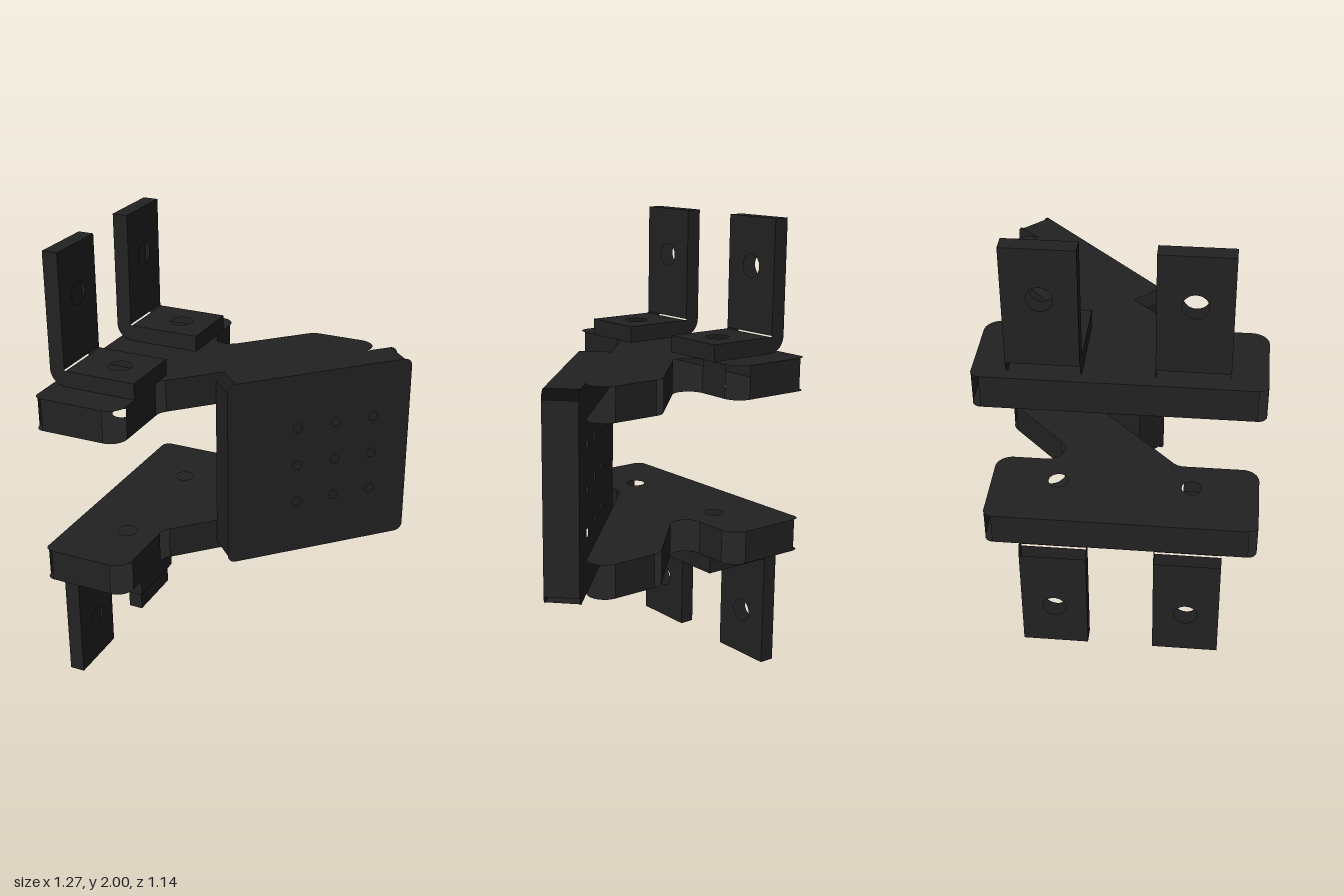
import * as THREE from 'three';
import { mergeGeometries } from 'three/addons/utils/BufferGeometryUtils.js';

const material = new THREE.MeshStandardMaterial({ color: 0x222222, side: THREE.DoubleSide });
const ROUND = 0.071, EDGE = 0.036, THICK = 0.143, SHEET = 0.071;

function addHoles(shape, holes) {
  for (const [x, y, r] of holes) shape.holes.push(new THREE.Path().absarc(x, y, r, 0, Math.PI * 2, true));
  return shape;
}

// Tangent points and arc of a rounded corner p between its neighbours
function roundCorner(prev, p, next, r) {
  const a = prev.clone().sub(p).normalize(), b = next.clone().sub(p).normalize();
  const half = Math.acos(a.dot(b)) / 2;
  if (!r) return [p.clone()];
  const centre = a.clone().add(b).normalize().multiplyScalar(r / Math.sin(half)).add(p);
  const start = a.multiplyScalar(r / Math.tan(half)).add(p).sub(centre);
  const end = b.multiplyScalar(r / Math.tan(half)).add(p).sub(centre);
  const arc = [];
  for (let i = 0; i <= 10; i++) arc.push(start.clone().lerp(end, i / 10).setLength(r).add(centre));
  return arc;
}

// Sheet-built prism: two rounded caps plus flat walls along the straight edges (rounds stay open).
// corners: [x, y, radius, holes in the wall that starts here], counter-clockwise
function prism(corners, depth, holes = []) {
  const pts = corners.map(([x, y]) => new THREE.Vector2(x, y)), n = pts.length;
  const arcs = pts.map((p, i) => roundCorner(pts[(i + n - 1) % n], p, pts[(i + 1) % n], corners[i][2]));
  const cap = () => new THREE.ShapeGeometry(addHoles(new THREE.Shape(arcs.flat()), holes), 16);
  const front = cap().translate(0, 0, depth);
  const back = cap();
  back.index.array.reverse();
  back.computeVertexNormals();
  const parts = [front, back];
  arcs.forEach((arc, i) => {
    const a = arc[arc.length - 1], b = arcs[(i + 1) % n][0];
    const length = a.distanceTo(b), d = b.clone().sub(a).normalize();
    const rect = new THREE.Shape([[0, 0], [length, 0], [length, depth], [0, depth]]
      .map(([u, v]) => new THREE.Vector2(u, v)));
    // Wall holes are measured from the sharp corner
    const skip = a.distanceTo(pts[i]);
    addHoles(rect, (corners[i][3] || []).map(([u, v, r]) => [u - skip, v, r]));
    const place = new THREE.Matrix4().makeBasis(
      new THREE.Vector3(d.x, d.y, 0), new THREE.Vector3(0, 0, 1), new THREE.Vector3(d.y, -d.x, 0));
    place.setPosition(a.x, a.y, 0);
    parts.push(new THREE.ShapeGeometry(rect, 16).applyMatrix4(place));
  });
  return mergeGeometries(parts);
}

function add(parent, name, geometry) {
  const mesh = new THREE.Mesh(geometry, material);
  mesh.name = name;
  parent.add(mesh);
  return mesh;
}

export function createModel() {
  const model = new THREE.Group();
  model.name = 'bracketAssembly';

  // Flat arms with a diagonal branch that carries the plate
  const arm = prism([
    [-0.64, -0.571, EDGE], [-0.25, -0.571, ROUND], [-0.25, -0.217, ROUND], [0.538, 0.571, ROUND],
    [0.137, 0.571, ROUND], [-0.25, 0.184, ROUND], [-0.25, 0.571, ROUND], [-0.64, 0.571, EDGE],
  ], THICK, [[-0.39, 0.285, 0.042], [-0.39, -0.285, 0.042]]).rotateX(-Math.PI / 2);
  add(model, 'lowerArm', arm).position.y = 0.572;
  add(model, 'upperArm', arm).position.y = 1.285;

  // Angled square plate with a grid of nine holes
  const h = 0.428, gridHoles = [];
  for (let i = -1; i <= 1; i++)
    for (let j = -1; j <= 1; j++) gridHoles.push([0.073 + i * 0.178, j * 0.178, 0.021]);
  const plate = add(model, 'mountingPlate',
    prism([[-h, -h, EDGE], [h, -h, EDGE], [h, h, EDGE], [-h, h, EDGE]], THICK, gridHoles));
  plate.rotation.y = Math.PI / 4;
  plate.position.set(0.231, 1, -0.266);

  // Bent angle tabs; the side profile is extruded across the tab width
  const width = 0.285, xo = -0.64, xi = xo + SHEET - 0.003, y0 = 0.429, y1 = y0 + SHEET;
  const tab = prism([
    [xo, y0, SHEET, [[0.25, width / 2, 0.05]]],   // underside, bolt hole
    [-0.25, y0, 0],
    [-0.25, y1, 0, [[0.14, width / 2, 0.05]]],    // top of the foot
    [xi, y1, 0.005, [[0.79 - y1, width / 2, 0.05]]],
    [xi, 1, 0],
    [xo, 1, 0, [[0.21, width / 2, 0.05]]],        // outer face of the upright
  ], width).translate(0, 0, -width / 2);
  for (const [side, angle] of [['upper', 0], ['lower', Math.PI]]) {
    const pair = new THREE.Group();
    pair.name = side + 'Tabs';
    pair.position.y = 1;
    pair.rotation.x = angle;
    for (const z of [-0.285, 0.285]) add(pair, side + 'AngleTab', tab).position.z = z;
    model.add(pair);
  }
  return model;
}
